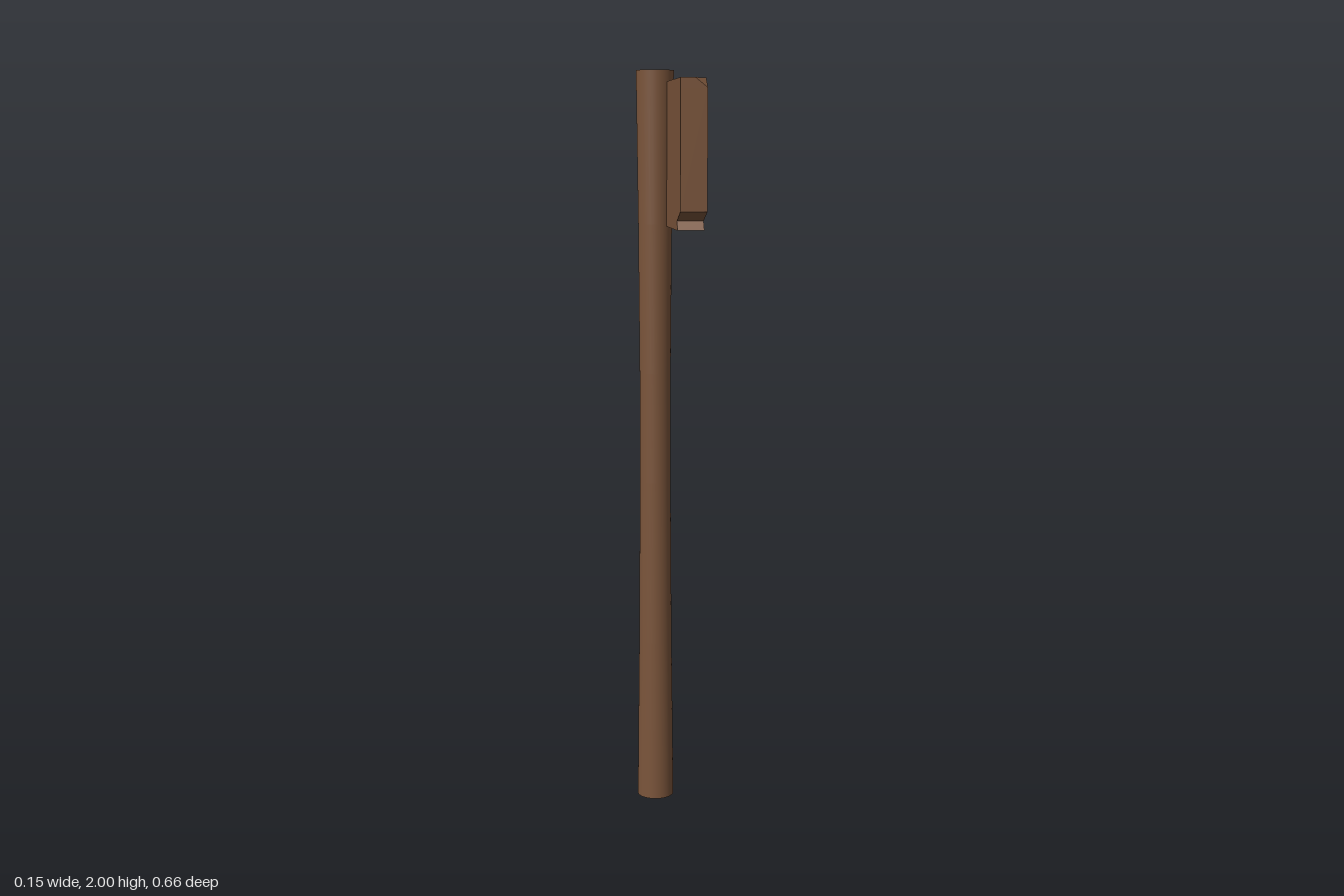
import * as THREE from 'three';

const THICK = 0.068;   // board thickness along x
const CUT_X = 0.037;   // depth of the clipped front corner

// Board outline as [z, y], counter-clockwise seen from +x, with two broken corners
const OUTLINE = [
  [0.276, 1.594], [-0.328, 1.594], [-0.328, 1.915], [-0.305, 1.945], [-0.318, 1.97],
  [0.297, 1.97], [0.329, 1.97], [0.329, 1.945], [0.329, 1.643], [0.26, 1.617],
];
const CLIPPED = 6;     // outline corner whose front tip is sliced away

function boardGeometry() {
  const back = OUTLINE.map(([z, y]) => [0, y, z]);
  const front = OUTLINE.map(([z, y], i) => [i === CLIPPED ? CUT_X : THICK, y, z]);
  const pos = [];
  const tri = (a, b, c) => pos.push(...a, ...b, ...c);
  const cap = (ids, draw) => {
    const pts = ids.map((i) => new THREE.Vector2(-OUTLINE[i][0], OUTLINE[i][1]));
    THREE.ShapeUtils.triangulateShape(pts, []).forEach(([a, b, c]) => draw(ids[a], ids[b], ids[c]));
  };
  const all = OUTLINE.map((_, i) => i);
  cap(all, (a, b, c) => tri(back[a], back[c], back[b]));
  cap(all.filter((i) => i !== CLIPPED), (a, b, c) => tri(front[a], front[b], front[c]));
  // sliced corner facet
  tri(front[CLIPPED - 1], front[CLIPPED], front[CLIPPED + 1]);
  // rim
  all.forEach((i) => {
    const j = (i + 1) % all.length;
    tri(front[i], back[i], back[j]);
    tri(front[i], back[j], front[j]);
  });
  const geo = new THREE.BufferGeometry();
  geo.setAttribute('position', new THREE.Float32BufferAttribute(pos, 3));
  geo.computeVertexNormals();
  return geo;
}

export function createModel() {
  const group = new THREE.Group();
  const wood = new THREE.MeshStandardMaterial({ color: 0x7b553b });
  wood.name = 'brown wood';

  const add = (name, geometry, x, y, z) => {
    const mesh = new THREE.Mesh(geometry, wood);
    mesh.name = name;
    mesh.position.set(x, y, z);
    group.add(mesh);
    return mesh;
  };

  // Round post, slightly waisted, with flat ends
  const radii = [[0.05, 0], [0.048, 0.2], [0.045, 0.45], [0.042, 0.9], [0.042, 1.2], [0.045, 1.6], [0.05, 2]];
  const profile = radii.map(([r, y]) => new THREE.Vector2(r, y));
  add('post', new THREE.LatheGeometry(profile, 32), -0.027, 0, 0.007);
  add('postTop', new THREE.CircleGeometry(0.05, 32).rotateX(-Math.PI / 2), -0.027, 2, 0.007);
  add('postBottom', new THREE.CircleGeometry(0.05, 32).rotateX(Math.PI / 2), -0.027, 0, 0.007);

  // Sign board
  add('board', boardGeometry(), 0, 0, 0);

  // Domed nail heads
  for (const [name, y] of [['upperNail', 1.936], ['lowerNail', 1.631]]) {
    add(name, new THREE.SphereGeometry(0.012, 14, 10), THICK - 0.003, y, 0.011);
  }
  return group;
}
